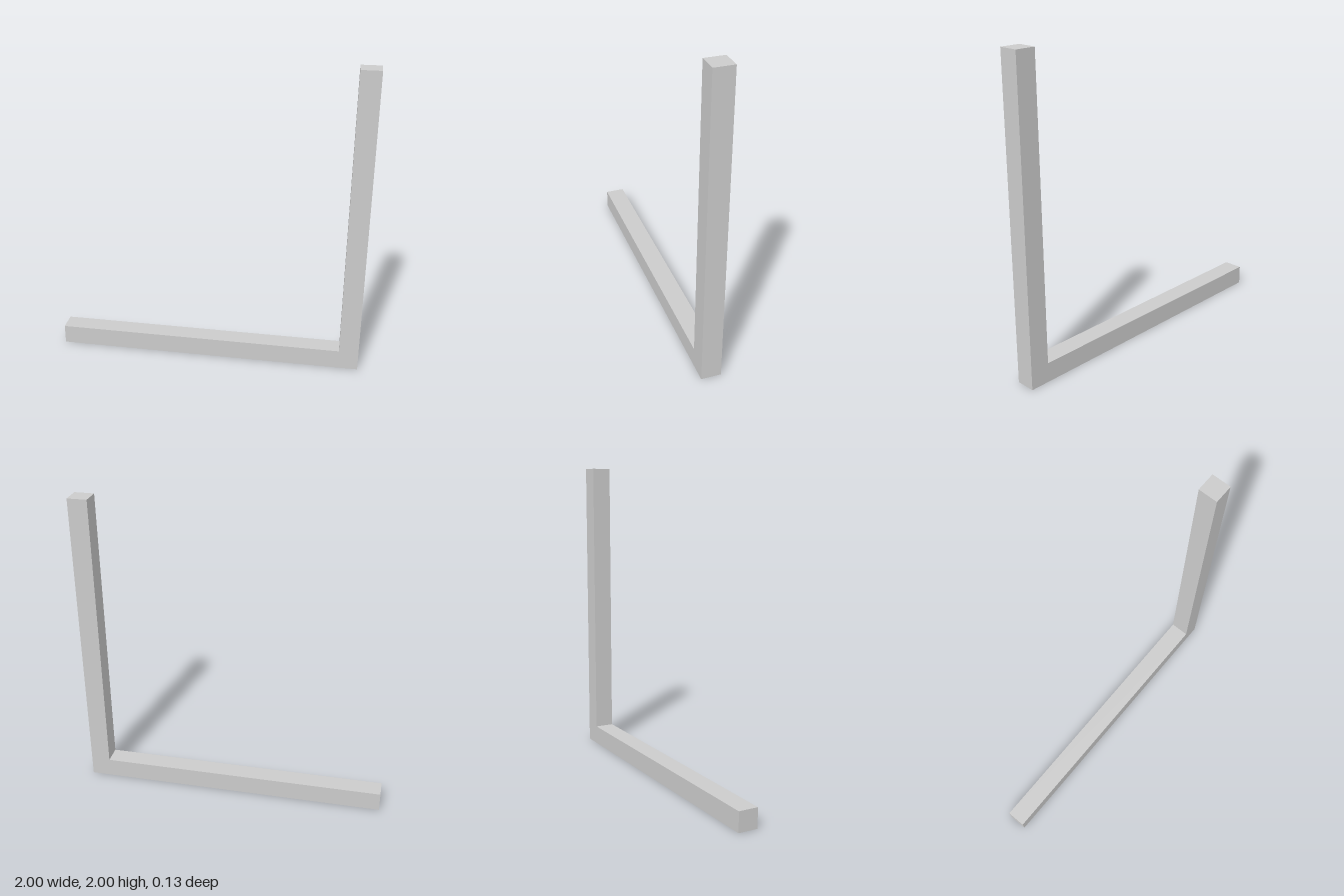
import * as THREE from 'three';

const T = 0.126; // square bar thickness

export function createModel() {
  const group = new THREE.Group();
  group.name = 'angleBar';

  // L-shaped outline: a floor arm with an upright at its +x end
  const outline = new THREE.Shape([
    [-1, 0], [1, 0], [1, 2], [1 - T, 2], [1 - T, T], [-1, T],
  ].map(([x, y]) => new THREE.Vector2(x, y)));

  const geometry = new THREE.ExtrudeGeometry(outline, { depth: T, bevelEnabled: false });
  geometry.translate(0, 0, -T / 2);

  const bar = new THREE.Mesh(geometry, new THREE.MeshStandardMaterial({ color: 0xcccccc }));
  bar.name = 'cornerBar';
  group.add(bar);
  return group;
}
